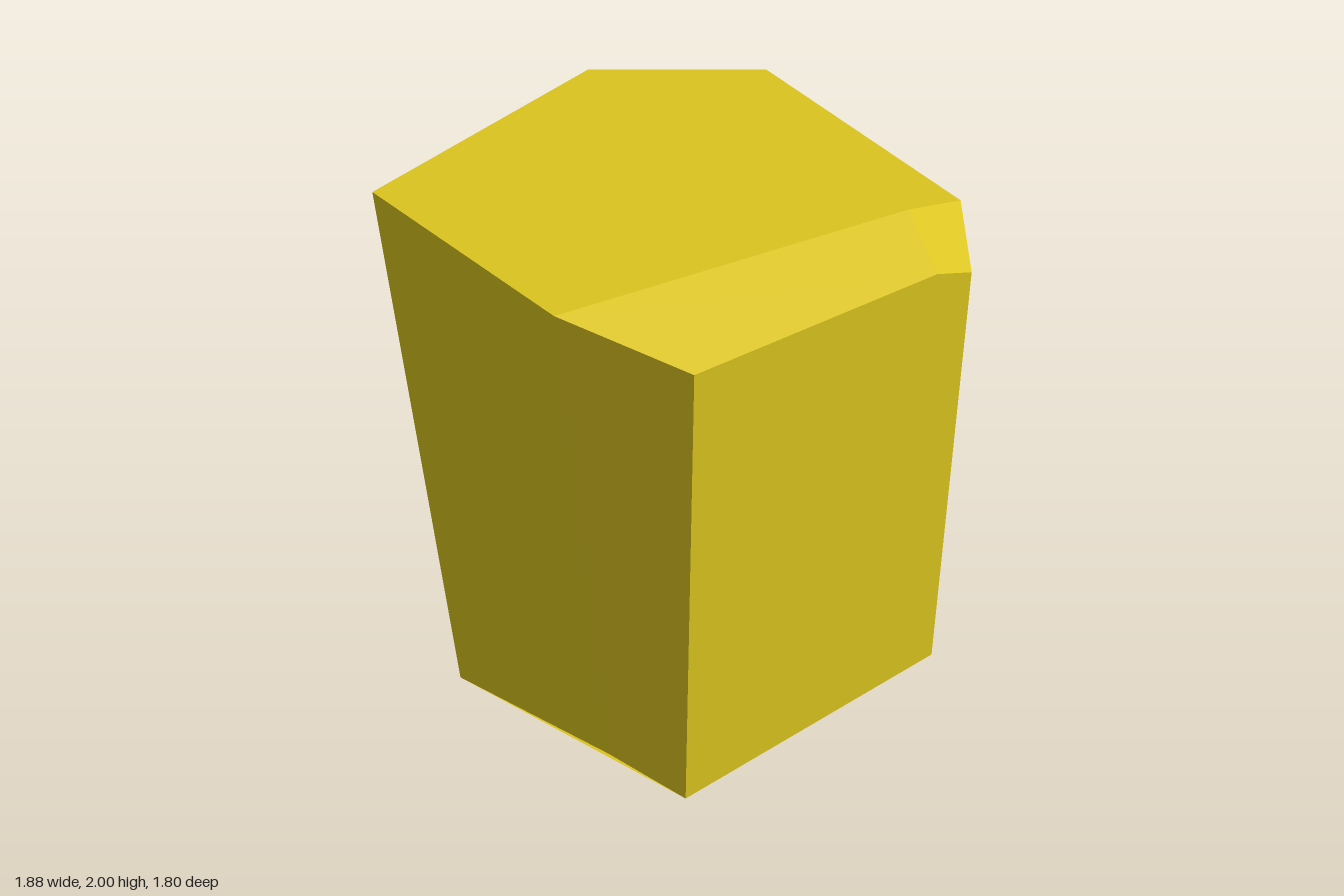
import * as THREE from 'three';

// Corners of the block, counted counterclockwise seen from above
const corner = {
  // top ring, with the crease corner k inside it
  a: [-0.94, 1.99, -0.38], h: [-0.63, 1.955, 0.83], g: [0.47, 1.945, 0.865], f: [0.88, 1.825, 0.63],
  e: [0.94, 1.85, -0.4], d: [0.92, 1.78, -0.6], c: [0.66, 1.89, -0.81], b: [-0.47, 2.0, -0.9],
  k: [0.68, 1.955, -0.52],
  // base ring
  p: [-0.16, 0.09, 0.905], q: [0.47, 0.003, 0.68], r: [0.84, 0.008, 0.62], s: [0.84, 0.008, -0.66],
  t: [0.465, 0.0, -0.76], u: [0.05, 0.025, -0.858], v: [-0.05, 0.035, -0.32],
};

// Facets, each fanned from its first corner
const facets = {
  top: ['ahgkcb', 'gfek', 'kedc'],
  sides: ['hpqg', 'gqrf', 'frsde', 'dstc', 'ctub', 'buva', 'avph'],
  base: ['pvutsrq'],
};

// Each facet keeps one averaged normal, so slightly warped facets still look flat
function facetGeometry(loops) {
  const positions = [];
  const normals = [];
  for (const loop of loops) {
    const pts = [...loop].map((name) => new THREE.Vector3(...corner[name]));
    const normal = new THREE.Vector3();
    pts.forEach((pt, i) => {
      normal.add(new THREE.Vector3().crossVectors(pt, pts[(i + 1) % pts.length]));
    });
    normal.normalize();
    for (let i = 1; i < pts.length - 1; i++) {
      for (const pt of [pts[0], pts[i], pts[i + 1]]) {
        positions.push(...pt.toArray());
        normals.push(...normal.toArray());
      }
    }
  }
  const geometry = new THREE.BufferGeometry();
  geometry.setAttribute('position', new THREE.Float32BufferAttribute(positions, 3));
  geometry.setAttribute('normal', new THREE.Float32BufferAttribute(normals, 3));
  return geometry;
}

export function createModel() {
  const group = new THREE.Group();
  group.name = 'rock';

  const ochre = new THREE.MeshStandardMaterial({ color: 0xdac31f });
  ochre.name = 'ochre yellow';

  for (const [name, loops] of Object.entries(facets)) {
    const mesh = new THREE.Mesh(facetGeometry(loops), ochre);
    mesh.name = name;
    group.add(mesh);
  }
  return group;
}
